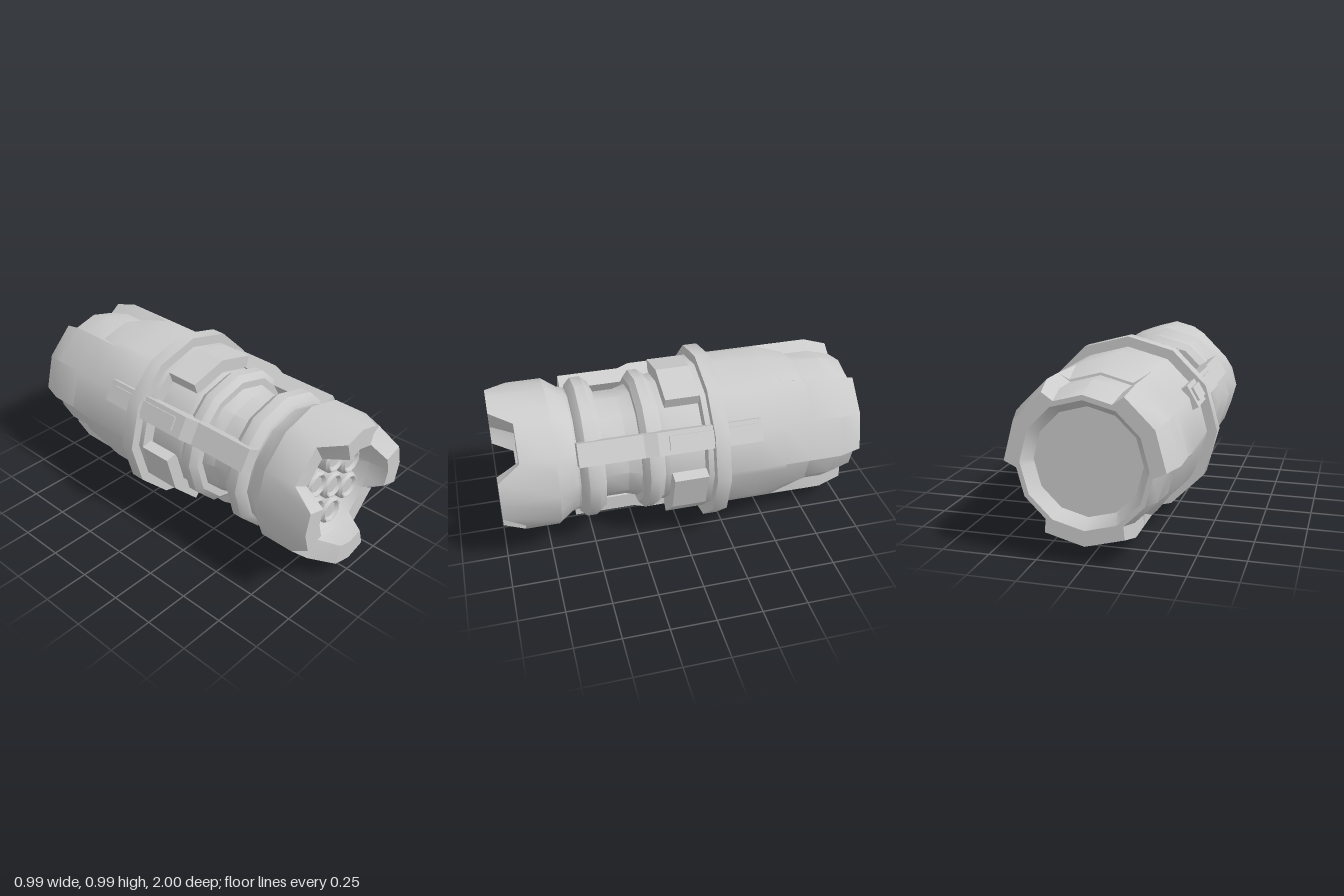
import * as THREE from 'three';
import { toCreasedNormals } from 'three/addons/utils/BufferGeometryUtils.js';

const rad = THREE.MathUtils.degToRad;
const material = new THREE.MeshStandardMaterial({ color: 0xcccccc });
const twelve = Array.from({ length: 12 }, (_, i) => i * 30);

// Radius along the flat of a 12-sided polygon, at any angle in degrees
const flat = (r, a) => r * Math.cos(rad(15)) / Math.cos(rad((((a % 30) + 30) % 30) - 15));

// Skin through rings ordered front to back; a ring is [r, z] or a function of the angle
function loft(rings, angles = twelve) {
  const pos = [], index = [], n = angles.length;
  for (const ring of rings) {
    for (const a of angles) {
      const [r, z] = typeof ring === 'function' ? ring(a) : ring;
      const f = flat(r, a);
      pos.push(f * Math.cos(rad(a)), f * Math.sin(rad(a)), z);
    }
  }
  for (let i = 0; i < rings.length - 1; i++) {
    for (let j = 0; j < n; j++) {
      const k = (j + 1) % n, a = i * n + j, b = i * n + k;
      index.push(a, a + n, b, b, a + n, b + n);
    }
  }
  const g = new THREE.BufferGeometry();
  g.setAttribute('position', new THREE.Float32BufferAttribute(pos, 3));
  g.setIndex(index);
  return toCreasedNormals(g, 0.55);
}

function extrude(points, depth) {
  const shape = new THREE.Shape(points.map(([x, y]) => new THREE.Vector2(x, y)));
  return new THREE.ExtrudeGeometry(shape, { depth, bevelEnabled: false });
}

// Side profile given as [z, radius], extruded to a width across the top
function railGeometry(profile, width) {
  return extrude(profile, width).translate(0, 0, -width / 2).rotateY(-Math.PI / 2);
}

export function createModel() {
  const model = new THREE.Group();
  model.name = 'connector';
  const barrel = new THREE.Group();
  barrel.name = 'barrel';
  barrel.position.y = 0.5;
  model.add(barrel);

  const add = (name, geometry, parent = barrel) => {
    const mesh = new THREE.Mesh(geometry, material);
    mesh.name = name;
    parent.add(mesh);
    return mesh;
  };

  // Front cap: four tapered teeth, at top, bottom and sides, around a bevelled socket
  const toothAngles = [0, 90, 180, 270].flatMap(q => [0, 17, 30, 60, 73].map(a => a + q));
  const tipZ = a => ([30, 60].includes(a % 90) ? 0.88 : 1);
  add('frontCap', loft([
    [0, 0.78], [0.25, 0.78], [0.3, 0.88],
    a => [0.3, tipZ(a)], a => [0.412, tipZ(a)],
    [0.412, 0.69], [0.355, 0.61], [0.345, 0.58], [0, 0.58],
  ], toothAngles));

  // Seven pins with dished ends in the socket
  const pinProfile = [[0, 0.855], [0.045, 0.855], [0.06, 0.87], [0.066, 0.87], [0.078, 0.855], [0.078, 0.77]];
  const pinGeometry = toCreasedNormals(new THREE.LatheGeometry(
    pinProfile.map(([r, z]) => new THREE.Vector2(r, z)).reverse(), 10).rotateX(Math.PI / 2), 0.65);
  for (let i = 0; i < 7; i++) {
    const r = i ? 0.165 : 0, a = rad(30 + i * 60);
    add('pin', pinGeometry).position.set(r * Math.cos(a), r * Math.sin(a), 0);
  }

  // Narrow core with two chamfered flanges
  add('core', loft([
    [0, 0.6], [0.345, 0.6], [0.345, 0.57], [0.36, 0.565], [0.395, 0.53], [0.395, 0.475], [0.36, 0.435],
    [0.3, 0.435], [0.3, 0.3], [0.32, 0.23], [0.36, 0.23], [0.395, 0.2], [0.395, 0.15], [0.36, 0.11],
    [0.365, 0.08], [0.365, -0.15], [0, -0.15],
  ]));

  // Raised flange around the middle, with a collar in front
  add('middleCollar', loft([[0.3, -0.11], [0.44, -0.11], [0.44, -0.2]]));
  add('middleFlange', loft([[0.4, -0.14], [0.495, -0.14], [0.495, -0.22], [0.4, -0.22]]));

  // Rear body with three sunken panels, each led in by a ramp, and a recessed end
  const bodyAngles = [0, 120, 240].flatMap(q => [0, 30, 60, 65, 90, 115].map(a => a + q));
  const panel = (outer, sunken, z) => a => [a % 120 > 62 && a % 120 < 118 ? sunken : outer, z];
  add('rearBody', loft([
    [0.3, -0.2], [0.44, -0.2], [0.44, -0.4],
    a => [a % 120 === 90 ? 0.416 : 0.44, -0.55],
    panel(0.44, 0.393, -0.71), panel(0.44, 0.38, -0.712),
    panel(0.44, 0.38, -0.87), panel(0.4, 0.345, -1),
    [0.32, -1], [0.275, -0.93], [0, -0.93],
  ], bodyAngles));

  // Pads ahead of the flange, in line with the sunken panels
  const padGeometry = extrude([[0.2, 0.32], [0.22, 0.381], [0, 0.44], [-0.22, 0.381], [-0.2, 0.32]], 0.21)
    .translate(0, 0, -0.13);

  // Long rails between the pads, each with a narrow raised strip
  const railShape = railGeometry([
    [0.58, 0.345], [0.58, 0.435], [0.23, 0.435], [0.16, 0.46], [-0.41, 0.46], [-0.41, 0.42], [0.1, 0.36], [0.1, 0.345],
  ], 0.125);
  const stripShape = railGeometry([[0.1, 0.44], [0.1, 0.472], [-0.37, 0.472], [-0.37, 0.44]], 0.075);

  for (let i = 0; i < 3; i++) {
    add('frontPad', padGeometry).rotation.z = rad(i * 120);
    const rail = new THREE.Group();
    rail.name = 'lockingRail';
    rail.rotation.z = rad(60 + i * 120);
    add('railBase', railShape, rail);
    add('railStrip', stripShape, rail);
    barrel.add(rail);
  }
  return model;
}
